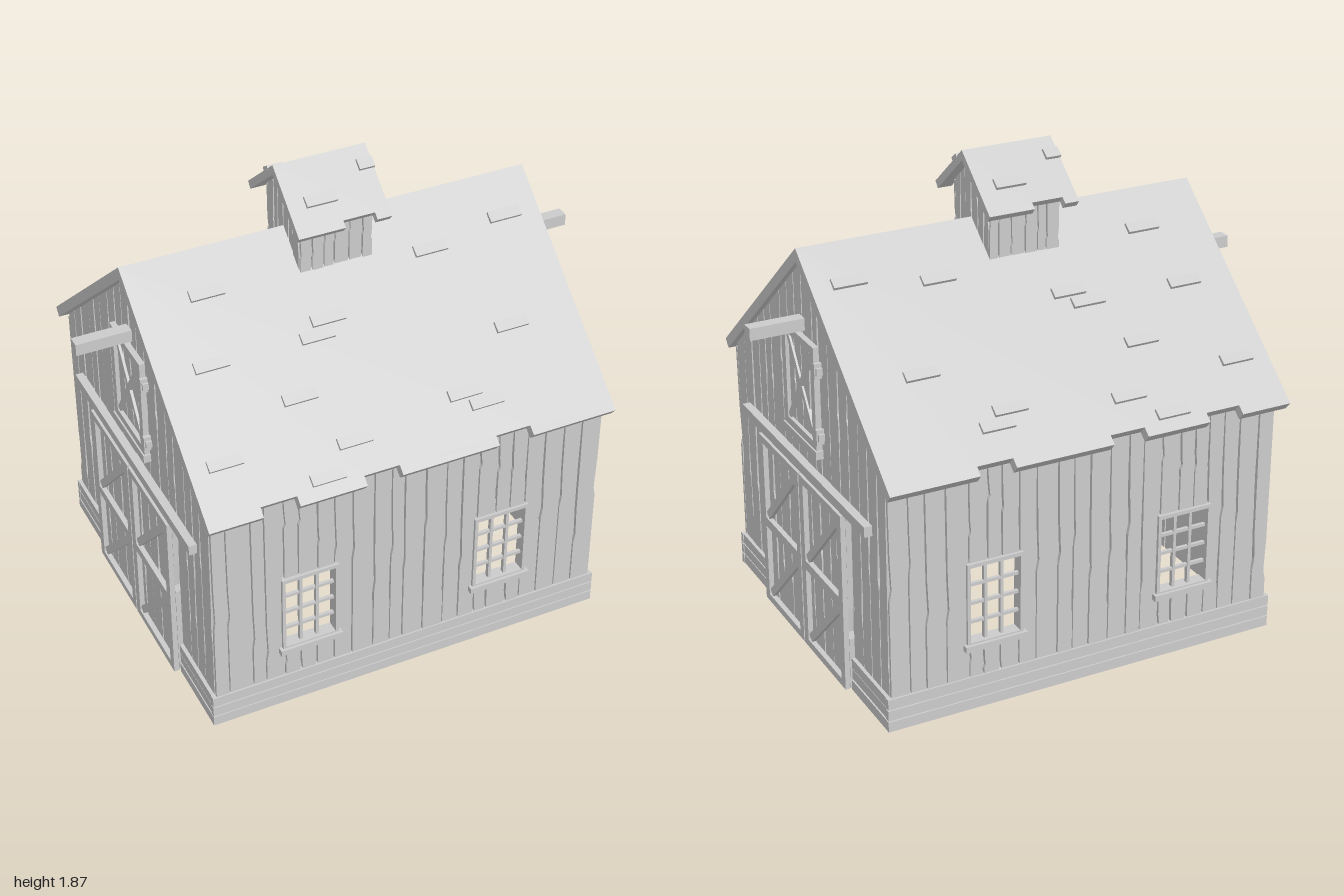
import * as THREE from 'three';

const material = new THREE.MeshStandardMaterial({ color: 0xcccccc, flatShading: true });
const PITCH = 0.84, ANGLE = Math.atan(PITCH);

// Small seeded generator for weathered irregularity
let seed = 7;
const rand = () => (seed = (seed * 16807) % 2147483647) / 2147483647;

function add(parent, geometry, name) {
  const mesh = new THREE.Mesh(geometry, material);
  mesh.name = name;
  parent.add(mesh);
  return mesh;
}

function group(parent, name) {
  const g = new THREE.Group();
  g.name = name;
  parent.add(g);
  return g;
}

// Box given by its two extents on each axis
function box(parent, name, x0, x1, y0, y1, z0, z1) {
  const mesh = add(parent, new THREE.BoxGeometry(x1 - x0, y1 - y0, z1 - z0), name);
  mesh.position.set((x0 + x1) / 2, (y0 + y1) / 2, (z0 + z1) / 2);
  return mesh;
}

// Flat outline with optional rectangular holes, extruded from z0 to z1
function panel(parent, name, points, z0, z1, holes = []) {
  const toVec = ([x, y]) => new THREE.Vector2(x, y);
  const shape = new THREE.Shape(points.map(toVec));
  for (const [x0, x1, y0, y1] of holes)
    shape.holes.push(new THREE.Path([[x0, y0], [x0, y1], [x1, y1], [x1, y0]].map(toVec)));
  const geometry = new THREE.ExtrudeGeometry(shape, { depth: z1 - z0, bevelEnabled: false });
  geometry.translate(0, 0, z0);
  return add(parent, geometry, name);
}

const rect = (x0, x1, y0, y1) => [[x0, y0], [x1, y0], [x1, y1], [x0, y1]];

// Diagonal brace between two points
function brace(parent, a, b, width, z0, z1) {
  const dx = b[0] - a[0], dy = b[1] - a[1];
  const mesh = add(parent, new THREE.BoxGeometry(Math.hypot(dx, dy), width, z1 - z0), 'brace');
  mesh.position.set((a[0] + b[0]) / 2, (a[1] + b[1]) / 2, (z0 + z1) / 2);
  mesh.rotation.z = Math.atan2(dy, dx);
}

// Row of uneven planks with chipped edges; top is a function of x
function planks(parent, x0, x1, count, y0, top, z0, z1) {
  const step = (x1 - x0) / count, seams = [x0];
  for (let i = 1; i < count; i++) seams.push(x0 + step * (i + (rand() - 0.5) * 0.4));
  seams.push(x1);
  for (let i = 0; i < count; i++) {
    const a = seams[i] + 0.0025, b = seams[i + 1] - 0.0025;
    const h = Math.min(top(a), top(b)) - y0;
    const chip = 0.07 * step + rand() * 0.05 * step;
    const r = y0 + h * (0.2 + 0.5 * rand()), l = y0 + h * (0.2 + 0.5 * rand());
    panel(parent, 'plank', [
      [a, y0], [b, y0],
      [b, r], [b - chip, r + h * 0.04], [b - chip * 0.3, r + h * 0.18],
      [b, top(b)], [a, top(a)],
      [a + chip * 0.4, l + h * 0.18], [a + chip, l + h * 0.05], [a, l],
    ], z0, z1 - rand() * 0.003);
  }
}

// Three stacked skirting boards
function skirting(parent, x0, x1, z0, z1) {
  for (let i = 0; i < 3; i++)
    box(parent, 'skirtingBoard', x0, x1, i * 0.046, i * 0.046 + 0.041, z0, z1 - rand() * 0.004);
}

function windowUnit(parent, cx) {
  const g = group(parent, 'window');
  g.position.x = cx;
  panel(g, 'windowFrame', rect(-0.113, 0.113, 0.265, 0.6), 0.66, 0.71, [[-0.1, 0.1, 0.28, 0.585]]);
  for (const x of [-0.033, 0.033]) box(g, 'glazingBar', x - 0.006, x + 0.006, 0.28, 0.585, 0.678, 0.695);
  for (let i = 1; i < 4; i++) {
    const y = 0.28 + i * 0.076;
    box(g, 'glazingBar', -0.1, 0.1, y - 0.006, y + 0.006, 0.68, 0.693);
  }
  box(g, 'windowSill', -0.125, 0.125, 0.25, 0.274, 0.665, 0.722);
}

// Long wall, facing +z in its own frame
function sideWall(parent, name, dir) {
  const g = group(parent, name);
  if (dir < 0) g.rotation.y = Math.PI;
  const centres = [-0.41 * dir, 0.377 * dir].sort((a, b) => a - b);
  const top = () => 0.957;
  panel(g, 'wallLining', rect(-0.755, 0.755, 0, 0.957), 0.665, 0.685,
    centres.map(c => [c - 0.1, c + 0.1, 0.28, 0.585]));
  const [a, b] = centres;
  planks(g, -0.79, a - 0.1, 4, 0, top, 0.685, 0.7);
  planks(g, a + 0.1, b - 0.1, 8, 0, top, 0.685, 0.7);
  planks(g, b + 0.1, 0.79, 4, 0, top, 0.685, 0.7);
  for (const c of centres) {
    planks(g, c - 0.1, c + 0.1, 3, 0, () => 0.28, 0.685, 0.7);
    planks(g, c - 0.1, c + 0.1, 3, 0.585, top, 0.685, 0.7);
    windowUnit(g, c);
  }
  skirting(g, -0.805, 0.805, 0.685, 0.708);
}

function barnDoor(parent, x0, x1) {
  const g = group(parent, 'barnDoor');
  box(g, 'doorLining', x0, x1, 0.005, 0.725, 0.775, 0.786);
  planks(g, x0, x1, 5, 0.005, () => 0.725, 0.786, 0.81);
  panel(g, 'doorFrame', rect(x0, x1, 0.005, 0.725), 0.81, 0.83,
    [[x0 + 0.036, x1 - 0.036, 0.035, 0.34], [x0 + 0.036, x1 - 0.036, 0.378, 0.695]]);
  for (const [y0, y1] of [[0.035, 0.34], [0.378, 0.695]])
    brace(g, [x0 + 0.045, y0 + 0.01], [x1 - 0.045, y1 - 0.01], 0.032, 0.809, 0.825);
}

function loftDoor(parent) {
  const g = group(parent, 'loftDoor');
  planks(g, -0.14, 0.14, 4, 0.88, () => 1.275, 0.79, 0.798);
  panel(g, 'loftFrame', rect(-0.146, 0.146, 0.875, 1.28), 0.79, 0.812, [[-0.115, 0.115, 0.905, 1.25]]);
  brace(g, [-0.11, 0.912], [0.11, 1.243], 0.022, 0.79, 0.808);
  brace(g, [-0.11, 1.243], [0.11, 0.912], 0.022, 0.79, 0.806);
  box(g, 'loftSill', -0.152, 0.152, 0.842, 0.874, 0.785, 0.818);
  for (const y of [0.935, 1.195]) {
    box(g, 'hinge', 0.142, 0.172, y - 0.014, y + 0.014, 0.788, 0.812);
    box(g, 'hingePin', 0.149, 0.163, y - 0.03, y + 0.03, 0.788, 0.817);
  }
}

// Gable end, facing +z in its own frame
function gableEnd(parent, name, dir) {
  const g = group(parent, name);
  g.rotation.y = dir * Math.PI / 2;
  const top = x => 1.55 - PITCH * Math.abs(x);
  panel(g, 'gableLining', [
    [-0.685, 0], [-0.38, 0], [-0.38, 0.725], [0.38, 0.725], [0.38, 0], [0.685, 0],
    [0.685, top(0.685)], [0, top(0)], [-0.685, top(0.685)],
  ], 0.755, 0.775);
  planks(g, -0.685, -0.38, 4, 0, top, 0.775, 0.79);
  planks(g, -0.38, 0, 5, 0.725, top, 0.775, 0.79);
  planks(g, 0, 0.38, 5, 0.725, top, 0.775, 0.79);
  planks(g, 0.38, 0.685, 4, 0, top, 0.775, 0.79);
  skirting(g, -0.685, -0.385, 0.775, 0.805);
  skirting(g, 0.385, 0.685, 0.775, 0.805);
  barnDoor(g, -0.383, -0.004);
  barnDoor(g, 0.004, 0.383);
  box(g, 'doorTrack', -0.57, 0.57, 0.727, 0.767, 0.785, 0.82);
  loftDoor(g);
  box(g, 'hoistBeam', -0.024, 0.024, 1.298, 1.345, 0.74, 1);
}

// One roof slope: notched slab plus raised shingles, listed as [x, z, width]
function roofSlope(parent, x0, x1, halfZ, ridgeY, thick, notches, notchDepth, shingles) {
  const g = group(parent, 'roofSlope');
  g.position.y = ridgeY;
  g.rotation.x = ANGLE - Math.PI / 2;
  const len = halfZ / Math.cos(ANGLE), outline = [[x0, 0], [x0, -len]];
  for (const [a, b] of notches)
    outline.push([a, -len], [a, notchDepth - len], [b, notchDepth - len], [b, -len]);
  outline.push([x1, -len], [x1, 0]);
  panel(g, 'roofSlab', outline, -thick, 0);
  for (const [x, z, w = 0.13] of shingles) {
    const m = add(g, new THREE.BoxGeometry(w, 0.042, 0.018), 'shingle');
    m.position.set(x, -z / Math.cos(ANGLE), 0.003);
    m.rotation.x = -0.08;
  }
}

function mainRoof(parent) {
  const roof = group(parent, 'mainRoof');
  const notches = [[-0.61, -0.47], [-0.21, -0.07], [0.32, 0.46]];
  const shingles = [[-0.54, 0.13], [0.66, 0.13], [0.33, 0.17], [-0.14, 0.285], [-0.2, 0.325],
    [-0.61, 0.325], [-0.34, 0.475], [0.53, 0.44], [-0.68, 0.59], [0.26, 0.59], [0.33, 0.63],
    [-0.2, 0.63], [-0.34, 0.705]];
  roofSlope(roof, -0.815, 0.805, 0.76, 1.607, 0.04, notches, 0.038, shingles);
  const back = group(roof, 'backSlope');
  back.rotation.y = Math.PI;
  roofSlope(back, -0.805, 0.815, 0.76, 1.607, 0.04,
    notches.map(([a, b]) => [-b, -a]).reverse(), 0.038, shingles.map(([x, z]) => [-x, z]));
}

function cupola(parent) {
  const g = group(parent, 'cupola');
  g.position.x = -0.036;
  const top = x => 1.826 - PITCH * Math.abs(x), eave = top(0.145);
  // Inner core with planks on all four sides
  const core = panel(g, 'cupolaCore',
    [[-0.133, 1.45], [0.133, 1.45], [0.133, top(0.133)], [0, top(0)], [-0.133, top(0.133)]], -0.133, 0.133);
  core.rotation.y = Math.PI / 2;
  for (let i = 0; i < 2; i++) {
    const half = group(g, 'cupolaHalf');
    half.rotation.y = i * Math.PI;
    planks(half, -0.145, 0.145, 6, 1.45, () => eave, 0.133, 0.145);
    const end = group(half, 'cupolaGable');
    end.rotation.y = Math.PI / 2;
    planks(end, -0.133, 0, 3, 1.45, top, 0.133, 0.145);
    planks(end, 0, 0.133, 3, 1.45, top, 0.133, 0.145);
    roofSlope(half, -0.182, 0.182, 0.22, 1.867, 0.03, [[0, 0.125]], 0.028,
      [[-0.055, 0.125, 0.12], [0.153, 0.058, 0.06]]);
  }
}

export function createModel() {
  seed = 7;
  const model = new THREE.Group();
  model.name = 'barn';
  sideWall(model, 'frontWall', 1);
  sideWall(model, 'backWall', -1);
  gableEnd(model, 'leftGable', 1);
  gableEnd(model, 'rightGable', -1);
  mainRoof(model);
  cupola(model);
  return model;
}
